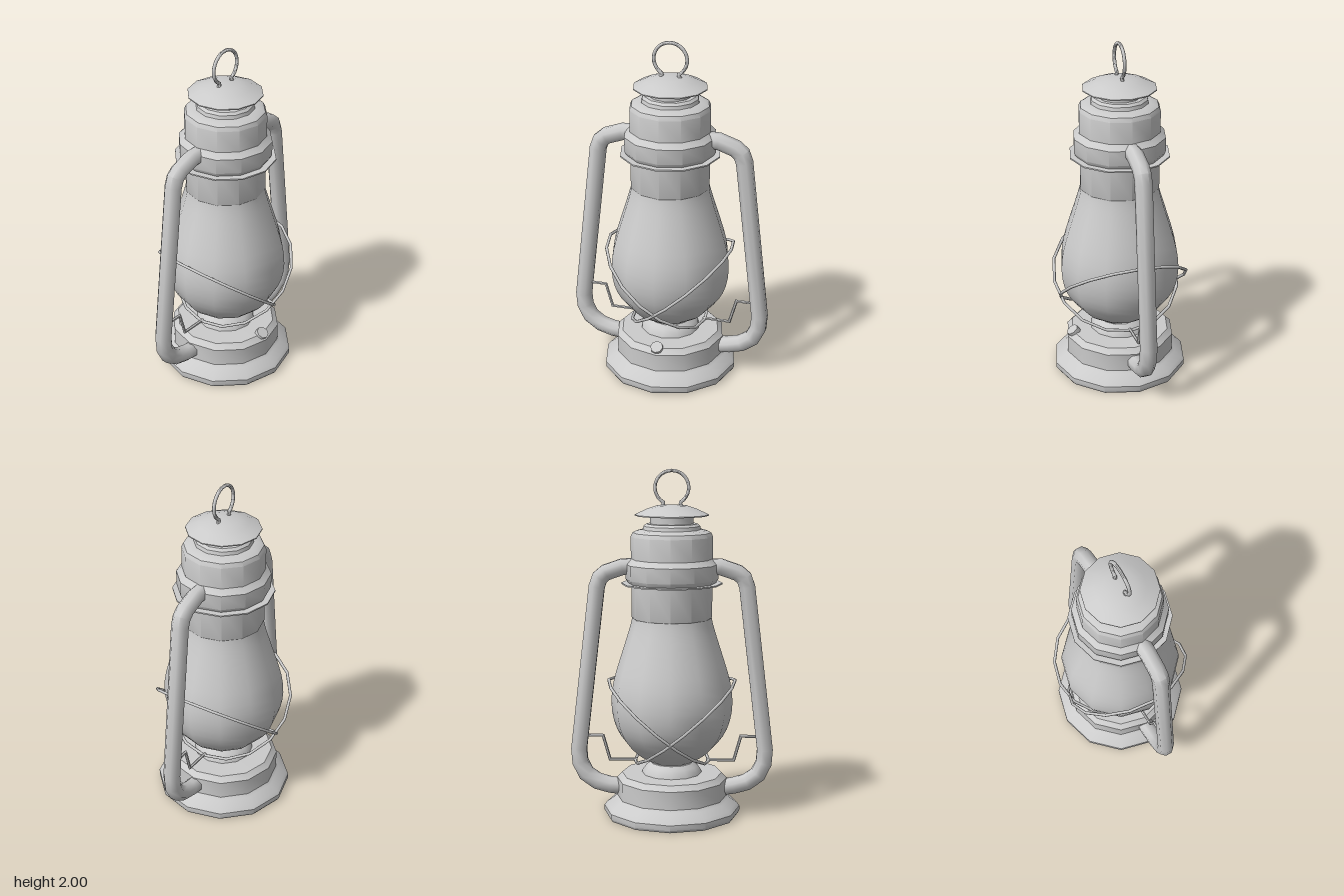
import * as THREE from 'three';
import { toCreasedNormals } from 'three/addons/utils/BufferGeometryUtils.js';

const SIDES = 12;
const material = new THREE.MeshStandardMaterial({ color: 0xcccccc });

function add(parent, name, geometry) {
  const mesh = new THREE.Mesh(geometry, material);
  mesh.name = name;
  parent.add(mesh);
  return mesh;
}

// Turned part from [radius, height] pairs, listed from bottom to top
function turned(parent, name, profile, crease = 0.6) {
  const points = profile.map(([r, y]) => new THREE.Vector2(r, y));
  return add(parent, name, toCreasedNormals(new THREE.LatheGeometry(points, SIDES), crease));
}

// Tube swept along [z, y] points in the x = 0 plane, mitred at each bend
function sweptTube(path, radius, sides) {
  const pts = path.map(([z, y]) => new THREE.Vector3(0, y, z));
  const position = [], index = [];
  const across = new THREE.Vector3(1, 0, 0);
  pts.forEach((p, i) => {
    const a = pts[Math.max(i - 1, 0)], b = pts[Math.min(i + 1, pts.length - 1)];
    const dirIn = (i > 0 ? p.clone().sub(a) : b.clone().sub(p)).normalize();
    const dirOut = (i < pts.length - 1 ? b.clone().sub(p) : dirIn.clone()).normalize();
    const tangent = dirIn.clone().add(dirOut).normalize();
    const normal = tangent.clone().cross(across);
    const mitre = 1 / tangent.dot(dirIn);
    for (let k = 0; k < sides; k++) {
      const t = ((k + 0.5) / sides) * Math.PI * 2;
      const v = p.clone()
        .addScaledVector(across, Math.cos(t) * radius)
        .addScaledVector(normal, Math.sin(t) * radius * mitre);
      position.push(v.x, v.y, v.z);
      if (i < pts.length - 1) {
        const c = i * sides + k, d = i * sides + (k + 1) % sides;
        index.push(c, c + sides, d, d, c + sides, d + sides);
      }
    }
  });
  // end caps
  const last = (pts.length - 1) * sides;
  for (let k = 1; k < sides - 1; k++) {
    index.push(0, k, k + 1, last, last + k + 1, last + k);
  }
  // this winding faces inwards, so turn every triangle round
  for (let i = 0; i < index.length; i += 3) {
    [index[i + 1], index[i + 2]] = [index[i + 2], index[i + 1]];
  }
  const g = new THREE.BufferGeometry();
  g.setAttribute('position', new THREE.Float32BufferAttribute(position, 3));
  g.setIndex(index);
  if (signedVolume(g) < 0) {
    g.setIndex(index.reverse());
  }
  return toCreasedNormals(g, 0.9);
}

function signedVolume(g) {
  const p = g.attributes.position, ix = g.index.array;
  const [a, b, c] = [0, 1, 2].map(() => new THREE.Vector3());
  let sum = 0;
  for (let i = 0; i < ix.length; i += 3) {
    a.fromBufferAttribute(p, ix[i]);
    b.fromBufferAttribute(p, ix[i + 1]);
    c.fromBufferAttribute(p, ix[i + 2]);
    sum += a.dot(b.cross(c));
  }
  return sum;
}

export function createModel() {
  const lantern = new THREE.Group();
  lantern.name = 'lantern';

  // Foot and fuel tank
  turned(lantern, 'fuelTank', [
    [0, 0], [0.385, 0], [0.395, 0.015], [0.395, 0.045], [0.38, 0.065],
    [0.335, 0.095], [0.32, 0.11], [0.32, 0.215], [0.29, 0.245], [0, 0.25],
  ]);
  turned(lantern, 'burner', [
    [0.175, 0.24], [0.17, 0.26], [0.15, 0.29], [0.125, 0.31], [0, 0.315],
  ]);
  const filler = add(lantern, 'fillerCap',
    toCreasedNormals(new THREE.CylinderGeometry(0.037, 0.037, 0.04, 8), 0.9));
  filler.position.set(0.282, 0.24, 0);
  filler.rotation.z = -0.6;

  // Glass globe, smoothed through a few profile points
  const globe = new THREE.SplineCurve([
    [0.1, 0.305], [0.15, 0.33], [0.225, 0.38], [0.295, 0.46], [0.335, 0.55], [0.35, 0.66],
    [0.337, 0.78], [0.3, 0.91], [0.265, 1.02], [0.235, 1.12], [0.225, 1.17],
  ].map(([r, y]) => new THREE.Vector2(r, y)));
  turned(lantern, 'globe', globe.getPoints(20).map((p) => [p.x, p.y]), 0.9);

  // Collar, thin plate, hood and cap
  turned(lantern, 'collar', [[0, 1.148], [0.222, 1.148], [0.23, 1.16], [0.23, 1.355]]);
  turned(lantern, 'hoodPlate', [[0, 1.35], [0.288, 1.35], [0.288, 1.358], [0, 1.358]]);
  turned(lantern, 'hood', [
    [0.25, 1.357], [0.264, 1.38], [0.264, 1.465], [0.233, 1.495], [0.233, 1.62],
    [0.222, 1.643], [0.2, 1.655], [0.165, 1.66], [0.16, 1.68], [0.145, 1.693], [0, 1.695],
  ]);
  turned(lantern, 'neck', [[0.122, 1.69], [0.122, 1.75]]);
  turned(lantern, 'cap', [
    [0, 1.738], [0.21, 1.738], [0.21, 1.744], [0.14, 1.777], [0.085, 1.795], [0, 1.8],
  ]);

  // Carrying ring, open at the bottom with its feet turned out
  const ring = [[0.062, 1.785], [0.048, 1.805]];
  for (let i = 0; i <= 24; i++) {
    const t = -1.03 + (i / 24) * (Math.PI + 2.06);
    ring.push([Math.cos(t) * 0.095, 1.895 + Math.sin(t) * 0.095]);
  }
  ring.push([-0.048, 1.805], [-0.062, 1.785]);
  add(lantern, 'carryingRing', sweptTube(ring, 0.01, 8));

  // Side tubes, guard wires and their brackets, front and back
  const framePath = [
    [0.2, 1.45], [0.28, 1.448], [0.375, 1.415], [0.41, 1.385], [0.428, 1.335], [0.54, 0.385],
    [0.534, 0.305], [0.5, 0.235], [0.435, 0.188], [0.36, 0.167], [0.26, 0.155],
  ];
  const bracketPath = [[0.51, 0.462], [0.4, 0.462], [0.36, 0.32], [0.2, 0.32]];
  for (const [side, s] of [['front', 1], ['back', -1]]) {
    const mirrored = (path) => path.map(([z, y]) => [z * s, y]);
    add(lantern, side + 'FrameTube', sweptTube(mirrored(framePath), 0.049, 8));
    add(lantern, side + 'GuardBracket', sweptTube(mirrored(bracketPath), 0.009, 6));
    const wire = add(lantern, side + 'GuardWire', new THREE.TorusGeometry(0.375, 0.009, 6, 16));
    wire.position.set(0, 0.555, 0.075 * s);
    wire.rotation.x = s * Math.atan2(0.285, 0.235);
  }
  return lantern;
}
